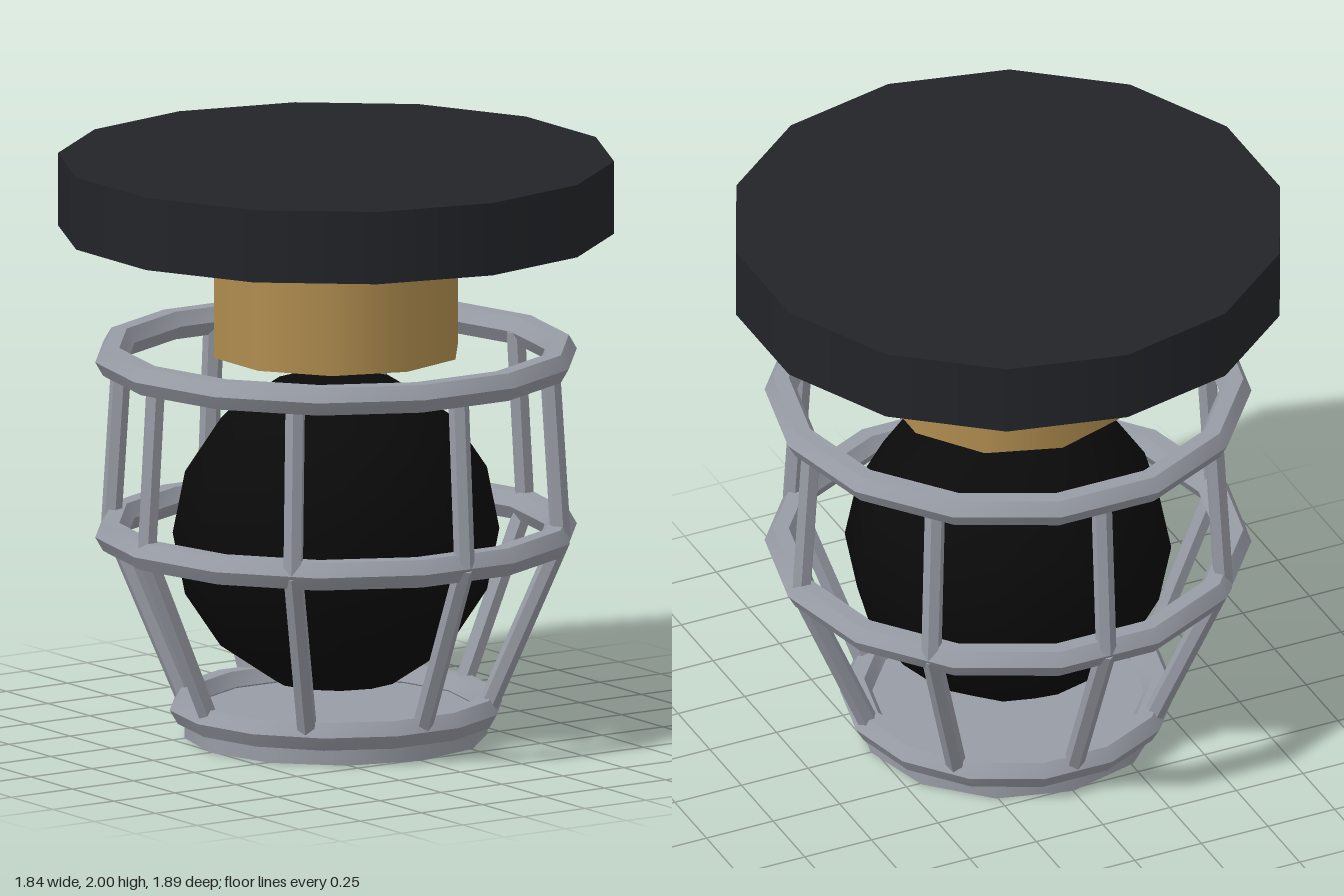
import * as THREE from 'three';
import { toCreasedNormals } from 'three/addons/utils/BufferGeometryUtils.js';

const black = new THREE.MeshStandardMaterial({ color: 0x222428 });
const brass = new THREE.MeshStandardMaterial({ color: 0xb08d4f });
const steel = new THREE.MeshStandardMaterial({ color: 0x989ca5 });
const darkGlass = new THREE.MeshStandardMaterial({ color: 0x0a0a0a });

export function createModel() {
  const model = new THREE.Group();
  model.name = 'cagedCeilingLamp';

  const add = (parent, name, geometry, material, y = 0) => {
    const mesh = new THREE.Mesh(geometry, material);
    mesh.name = name;
    mesh.position.y = y;
    parent.add(mesh);
    return mesh;
  };
  // Upright drum between two heights
  const drum = (name, radius, y0, y1, sides, material) =>
    add(model, name, new THREE.CylinderGeometry(radius, radius, y1 - y0, sides), material, (y0 + y1) / 2);

  // Ceiling plate, socket and globe
  drum('ceilingPlate', 0.945, 1.75, 2, 14, black);
  drum('socket', 0.43, 1.33, 1.75, 10, brass);
  add(model, 'globe', new THREE.SphereGeometry(0.555, 12, 8), darkGlass, 0.71);

  // Cage: hexagonal-section hoops
  const cage = new THREE.Group();
  cage.name = 'cage';
  model.add(cage);
  const hoop = (name, radius, y) => {
    const ring = new THREE.TorusGeometry(radius, 0.055, 6, 14).rotateX(Math.PI / 2);
    add(cage, name, toCreasedNormals(ring, 0.7), steel, y);
  };
  hoop('topHoop', 0.77, 1.315);
  hoop('middleHoop', 0.77, 0.71);
  hoop('bottomHoop', 0.515, 0.105);

  // Cage: eight bars, each bent at the middle hoop
  const bar = (parent, name, rTop, yTop, rBottom, yBottom) => {
    const length = Math.hypot(rTop - rBottom, yTop - yBottom);
    const rod = new THREE.CylinderGeometry(0.035, 0.035, length, 6);
    const mesh = add(parent, name, toCreasedNormals(rod, 0.7), steel, (yTop + yBottom) / 2);
    mesh.position.z = (rTop + rBottom) / 2;
    mesh.rotation.x = Math.atan2(rTop - rBottom, yTop - yBottom);
  };
  for (let i = 0; i < 8; i++) {
    const rib = new THREE.Group();
    rib.name = 'cageRib';
    rib.rotation.y = (i * Math.PI) / 4;
    bar(rib, 'upperBar', 0.737, 1.315, 0.775, 0.71);
    bar(rib, 'lowerBar', 0.775, 0.71, 0.515, 0.105);
    cage.add(rib);
  }

  // End cap closing the bottom of the cage
  drum('endCap', 0.515, 0, 0.1, 12, steel);

  return model;
}
